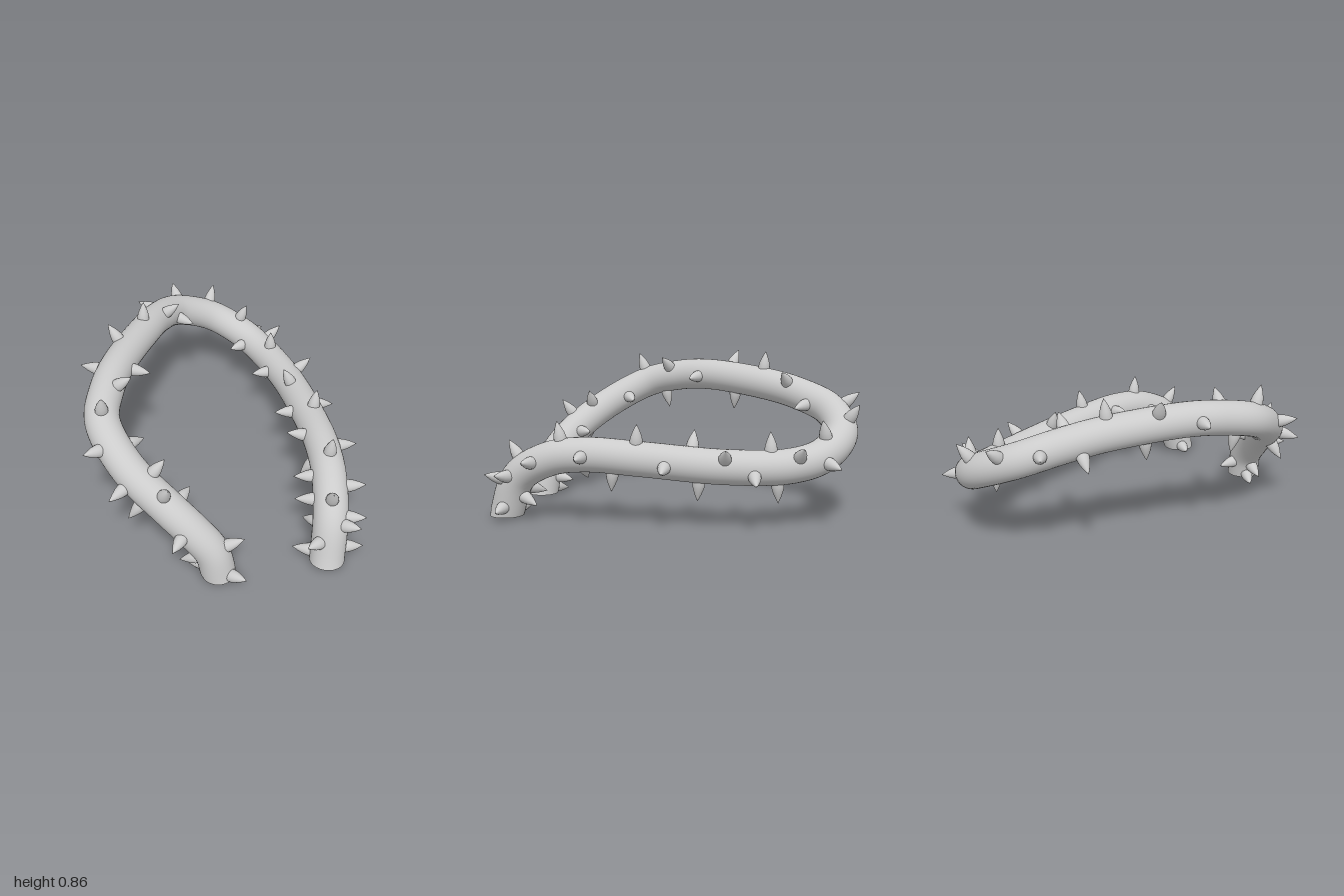
import * as THREE from 'three';

const RADIUS = 0.091;
const GROUND = 0.035;

// Centre line of the vine, from its right foot round the back to its left foot
const PATH = [
  [-0.035, 0.035, 0.86], [-0.07, 0.17, 0.845], [-0.165, 0.285, 0.815], [-0.285, 0.39, 0.76],
  [-0.485, 0.535, 0.62], [-0.615, 0.66, 0.41], [-0.605, 0.71, 0.2], [-0.56, 0.725, 0],
  [-0.435, 0.69, -0.4], [-0.37, 0.65, -0.6], [-0.265, 0.58, -0.8], [-0.05, 0.475, -0.905],
  [0.14, 0.385, -0.845], [0.262, 0.345, -0.7], [0.39, 0.345, -0.4], [0.483, 0.375, 0],
  [0.53, 0.39, 0.3], [0.545, 0.36, 0.5], [0.54, 0.25, 0.69], [0.525, 0.035, 0.78],
];

// Thorns: [position along PATH, degrees round the vine (0 top, 90 outer side, -90 inner side)]
const THORNS = [
  [0.05, 15], [0.3, 180], [0.85, 170], [1, -15], [0.8, -110], [2.15, 95], [2.9, -85], [3.2, 20],
  [3.4, 150], [3.6, -25], [3.75, 105], [4.4, -100], [4.45, 75], [5.05, 0], [5.5, 180], [5.9, -50],
  [6.7, 85], [6.95, -95], [7.35, 35], [7.5, 180], [7.92, 0], [8.6, 130], [8.8, -50], [9.45, 80],
  [9.55, -100], [10.15, 50], [10.85, 30], [11.75, 5], [12.15, 100], [12.5, -85], [12.8, 55],
  [13.2, 180], [13.3, 0], [13.58, 110], [13.73, -85], [14, 55], [14.3, 180], [14.42, -25],
  [14.7, 100], [14.9, -85], [15.13, 10], [15.5, 180], [15.7, -75], [16, 90], [16.2, -140],
  [16.6, 5], [17, -90], [17.3, 82], [17.7, 0], [17.6, -90], [18, 75], [18.15, 55], [18.2, -130],
  [18.35, 175], [18.5, -30], [18.7, 110], [18.85, -95],
];

export function createModel() {
  const group = new THREE.Group();
  group.name = 'thornyVine';
  const curve = new THREE.CatmullRomCurve3(PATH.map((p) => new THREE.Vector3(...p)));

  // Vine: open tube with both feet cut level
  const rings = 180, sides = 32;
  const tube = new THREE.TubeGeometry(curve, rings, RADIUS, sides, false);
  const pos = tube.attributes.position;
  for (let i = 0; i < pos.count; i++) {
    const ring = Math.floor(i / (sides + 1));
    const isEnd = ring === 0 || ring === rings;
    pos.setY(i, isEnd ? GROUND : Math.max(GROUND, pos.getY(i)));
  }
  const vine = new THREE.Mesh(
    tube, new THREE.MeshStandardMaterial({ color: 0xcccccc, side: THREE.DoubleSide }));
  vine.name = 'vine';
  group.add(vine);

  // Thorn: slightly bulging cone, rooted inside the vine
  const profile = [[0.034, -0.012], [0.033, 0.012], [0.028, 0.035], [0.019, 0.06], [0.009, 0.082], [0, 0.1]];
  const thornGeometry = new THREE.LatheGeometry(profile.map((p) => new THREE.Vector2(...p)), 16);
  const thornMaterial = new THREE.MeshStandardMaterial({ color: 0xcccccc });
  const thorns = new THREE.Group();
  thorns.name = 'thorns';
  group.add(thorns);
  const up = new THREE.Vector3(0, 1, 0);
  for (const [index, degrees] of THORNS) {
    const t = index / (PATH.length - 1);
    const tangent = curve.getTangent(t);
    const outer = up.clone().cross(tangent).normalize();
    const top = tangent.clone().cross(outer);
    const angle = THREE.MathUtils.degToRad(degrees);
    const direction = top.multiplyScalar(Math.cos(angle)).addScaledVector(outer, Math.sin(angle));
    const thorn = new THREE.Mesh(thornGeometry, thornMaterial);
    thorn.name = 'thorn';
    thorn.position.copy(curve.getPoint(t)).addScaledVector(direction, RADIUS - 0.004);
    thorn.quaternion.setFromUnitVectors(up, direction);
    thorns.add(thorn);
  }
  return group;
}
